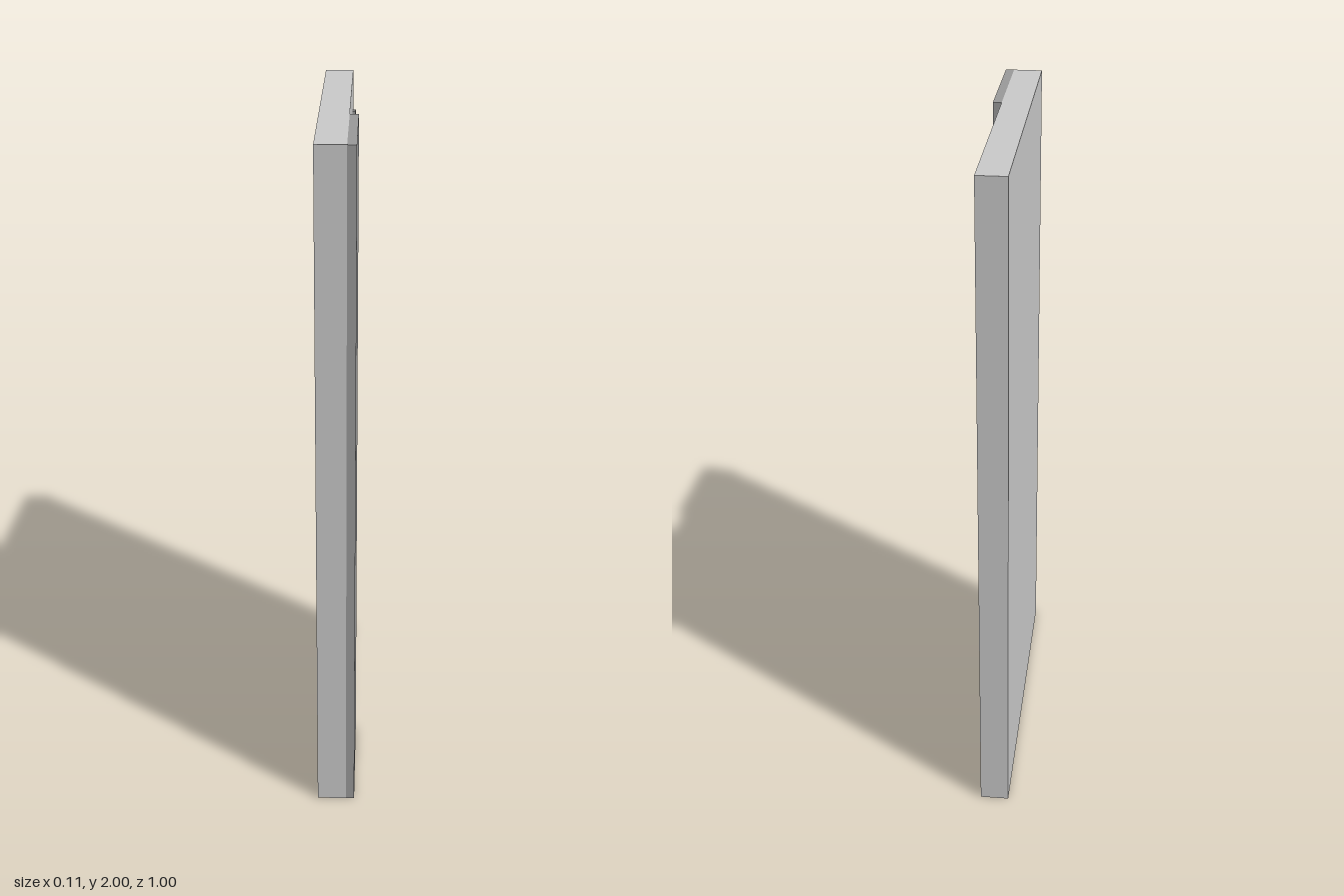
import * as THREE from 'three';

const light = new THREE.MeshStandardMaterial({ color: 0xcccccc });
const dark = new THREE.MeshStandardMaterial({ color: 0x9b9b9b });

// Box given by its minimum and maximum corners
function block(name, [x0, y0, z0], [x1, y1, z1], material) {
  const mesh = new THREE.Mesh(new THREE.BoxGeometry(x1 - x0, y1 - y0, z1 - z0), material);
  mesh.name = name;
  mesh.position.set((x0 + x1) / 2, (y0 + y1) / 2, (z0 + z1) / 2);
  return mesh;
}

export function createModel() {
  const model = new THREE.Group();
  model.name = 'cabinetDoor';
  const faceX = 0.03;

  // Main slab and the raised board along its front edge
  model.add(block('slab', [-0.055, 0, -0.5], [faceX, 2, 0.5], light));
  model.add(block('raisedBoard', [faceX, 0, 0.14], [0.055, 2, 0.5], dark));

  // Tapered inlay, drawn with shape x = -z so that it faces +x once turned
  const taper = new THREE.Shape();
  taper.moveTo(-0.14, 0.4);
  taper.lineTo(0.31, 0.4);
  taper.lineTo(-0.14, 0.5);
  const taperGeometry = new THREE.ShapeGeometry(taper);

  // Four levels, each with an upright bar and a flush inlay
  for (let i = 0; i < 4; i++) {
    const y = i * 0.5;
    model.add(block('handleBar' + (i + 1), [faceX, y + 0.094, -0.337], [0.04, y + 0.412, -0.313], dark));

    const inlay = new THREE.Mesh(taperGeometry, dark);
    inlay.name = 'taperedInlay' + (i + 1);
    inlay.rotation.y = Math.PI / 2;
    inlay.position.set(faceX + 0.001, y, 0);
    model.add(inlay);
  }
  return model;
}
